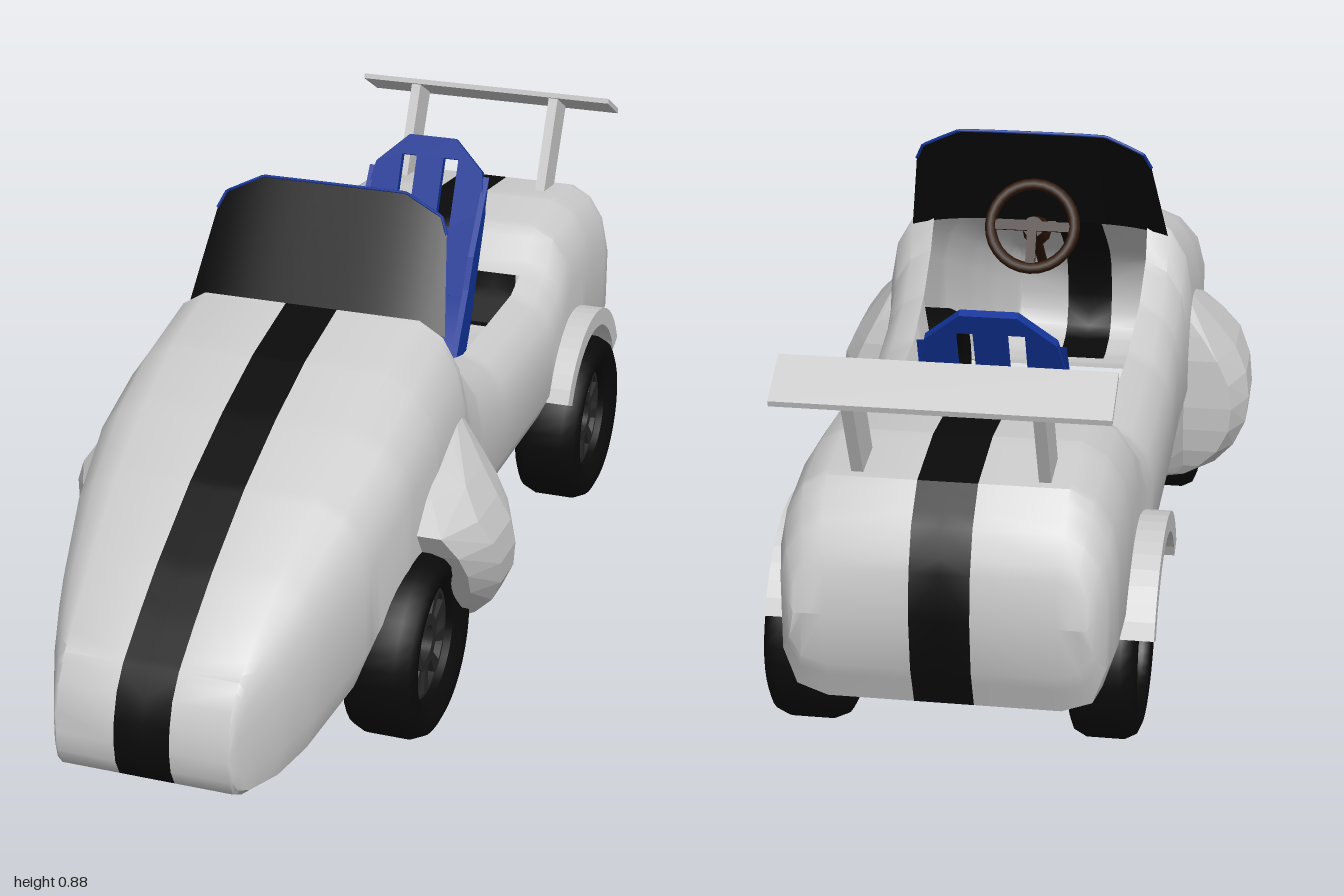
import * as THREE from 'three';
import { toCreasedNormals } from 'three/addons/utils/BufferGeometryUtils.js';
import { ConvexGeometry } from 'three/addons/geometries/ConvexGeometry.js';

const paint = (color) => new THREE.MeshStandardMaterial({ color, side: THREE.DoubleSide });
const GREY = paint(0xcccccc), BLACK = paint(0x0a0a0a), RIM = paint(0x282828);
const BLUE = paint(0x12349a), BROWN = paint(0x2e1708);
const AXLES = [0.452, -0.615], HUB_Y = 0.175, ARCH = 0.163;

// Body stations along z: [z, top, bottom, half width, half width of the flat top]
const STATIONS = [
  [1, 0.2, 0.2, 0.155, 0.15], [0.995, 0.24, 0.16, 0.16, 0.155], [0.98, 0.285, 0.13, 0.167, 0.155],
  [0.95, 0.325, 0.113, 0.18, 0.157], [0.88, 0.38, 0.103, 0.21, 0.162], [0.8, 0.437, 0.112, 0.237, 0.17],
  [0.65, 0.525, 0.155, 0.277, 0.185], [0.5, 0.592, 0.24, 0.299, 0.195], [0.35, 0.645, 0.23, 0.304, 0.205],
  [0.185, 0.682, 0.22, 0.3, 0.21], [0.14, 0.605, 0.22, 0.295, 0.212], [0.05, 0.545, 0.22, 0.29, 0.21],
  [-0.1, 0.503, 0.22, 0.29, 0.205], [-0.44, 0.5, 0.22, 0.29, 0.2], [-0.52, 0.528, 0.22, 0.287, 0.2],
  [-0.6, 0.592, 0.22, 0.283, 0.2], [-0.75, 0.605, 0.22, 0.283, 0.2], [-0.9, 0.588, 0.212, 0.28, 0.2],
  [-0.96, 0.535, 0.215, 0.268, 0.195], [-0.99, 0.465, 0.29, 0.25, 0.19], [-1, 0.385, 0.385, 0.24, 0.19],
];

function stationAt(z) {
  const i = Math.max(1, STATIONS.findIndex((s) => s[0] <= z + 1e-6));
  const a = STATIONS[i - 1], b = STATIONS[i], t = (z - a[0]) / (b[0] - a[0]);
  return a.map((v, k) => v + (b[k] - v) * t);
}

// Half cross-section from the underside centre, out and up to the top centre
function halfSection(z) {
  const [, yt, yb, w, wt] = stationAt(z), h = yt - yb, d = w - wt;
  const pts = [
    [0, yb], [0.05, yb], [wt, yb], [wt + 0.7 * d, yb + 0.06 * h], [w, yb + 0.26 * h], [w, yb + 0.65 * h],
    [wt + 0.85 * d, yb + 0.82 * h], [wt + 0.5 * d, yb + 0.94 * h], [wt, yt], [0.05, yt], [0, yt],
  ];
  // Wheel arches lift the lower edge of the side walls
  for (const zc of AXLES) {
    const q = ARCH ** 2 - (z - zc) ** 2;
    if (q > 0) for (let j = 3; j < 8; j++) pts[j][1] = Math.max(pts[j][1], HUB_Y + Math.sqrt(q));
  }
  return pts.map(([x, y]) => [x, y, z]);
}

// Skin of the body, limited to the panels that keep(z, j) accepts
function bodySkin(keep) {
  const zs = STATIONS.map((s) => s[0]);
  for (let i = -49; i < 50; i++) zs.push(i / 50);
  const stations = [...new Set(zs)].sort((a, b) => b - a);
  const rows = stations.map(halfSection), pos = [];
  for (let i = 0; i + 1 < rows.length; i++) {
    const z = (stations[i] + stations[i + 1]) / 2;
    for (let j = 0; j < 10; j++) {
      if (!keep(z, j)) continue;
      const a = rows[i][j], b = rows[i + 1][j], c = rows[i + 1][j + 1], d = rows[i][j + 1];
      pos.push(...a, ...b, ...d, ...b, ...c, ...d);
      for (const p of [a, d, b, b, d, c]) pos.push(-p[0], p[1], p[2]);
    }
  }
  const g = new THREE.BufferGeometry();
  g.setAttribute('position', new THREE.Float32BufferAttribute(pos, 3));
  return toCreasedNormals(g, 0.6);
}

const inCockpit = (z) => z < 0.185 && z > -0.5;
const isStripe = (z, j) => (j === 9 && !inCockpit(z)) || (j === 0 && (z > 0.84 || z < -0.93));
function isBody(z, j) {
  if (isStripe(z, j)) return false;
  if (j >= 8) return !inCockpit(z);
  if (j < 2) return z < 0.1 || z > 0.72;
  if (j === 2) return !AXLES.some((c) => Math.abs(z - c) < ARCH);
  return true;
}

function shapeOf(points) {
  return new THREE.Shape(points.map(([x, y]) => new THREE.Vector2(x, y)));
}
// Sector of a ring
function ringSector(r0, r1, a0, a1, n = 16) {
  const arc = (r, k) => [r * Math.cos(a0 + (a1 - a0) * k / n), r * Math.sin(a0 + (a1 - a0) * k / n)];
  const ids = [...Array(n + 1).keys()];
  return shapeOf([...ids.map((k) => arc(r1, k)), ...ids.reverse().map((k) => arc(r0, k))]);
}
const slab = (shape, depth) =>
  new THREE.ExtrudeGeometry(shape, { depth, bevelEnabled: false, curveSegments: 24 }).translate(0, 0, -depth / 2);
// Slab whose outline is given as [z, y]
const sideSlab = (points, width) => slab(shapeOf(points.map(([z, y]) => [-z, y])), width).rotateY(Math.PI / 2);

// Point of the windscreen with swept-back sides, u across (-1 to 1) and v up (0 to 1)
const SCREEN_TOP = [[0, 0, 0.252], [0.6, 0.14, 0.252], [0.85, 0.212, 0.217], [1, 0.226, 0.185]];
function screenPoint(u, v) {
  const k = SCREEN_TOP.findIndex((p) => p[0] >= Math.max(Math.abs(u), 0.001));
  const a = SCREEN_TOP[k - 1], b = SCREEN_TOP[k], t = (Math.abs(u) - a[0]) / (b[0] - a[0]);
  const top = a[1] + (b[1] - a[1]) * t, x = Math.sign(u) * (0.252 * Math.abs(u) * (1 - v) + top * v);
  return new THREE.Vector3(x, (a[2] + (b[2] - a[2]) * t) * v, -6 * x ** 4);
}

export function createModel() {
  const car = new THREE.Group();
  car.name = 'pedalCar';
  const add = (name, geometry, material, parent = car) => {
    const m = new THREE.Mesh(geometry, material);
    m.name = name;
    parent.add(m);
    return m;
  };
  const group = (name, x, y, z, rx = 0) => {
    const g = new THREE.Group();
    g.name = name;
    g.position.set(x, y, z);
    g.rotation.x = rx;
    car.add(g);
    return g;
  };

  add('body', bodySkin(isBody), GREY);
  add('stripe', bodySkin(isStripe), BLACK);

  // Wheels with pierced rims; the left pair is wider and stands further out
  const rimShape = new THREE.Shape().absarc(0, 0, 0.112, 0, Math.PI * 2);
  rimShape.holes.push(new THREE.Path().absarc(0, 0, 0.032, 0, Math.PI * 2, true));
  for (let k = 0; k < 10; k++) {
    const a = k * Math.PI / 5;
    rimShape.holes.push(ringSector(0.052, 0.096, a - 0.18, a + 0.18, 4));
  }
  for (const [side, x, width] of [['Right', -0.24, 0.12], ['Left', 0.28, 0.138]]) {
    const w = width / 2;
    const profile = [[0.103, -w * 0.75], [0.125, -w * 0.95], [0.145, -w], [0.162, -w * 0.88], [0.172, -w * 0.55],
      [0.172, w * 0.55], [0.162, w * 0.88], [0.145, w], [0.125, w * 0.95], [0.103, w * 0.75], [0.103, -w * 0.75]];
    const tyre = new THREE.LatheGeometry(profile.map((p) => new THREE.Vector2(...p)), 36).rotateZ(Math.PI / 2);
    const rim = slab(rimShape, width * 0.55).rotateY(Math.PI / 2);
    AXLES.forEach((z, i) => {
      const wheel = group((i ? 'rear' : 'front') + side + 'Wheel', x, HUB_Y, z);
      wheel.scale.z = 1.07;
      add('tyre', tyre, BLACK, wheel);
      add('rim', rim, RIM, wheel);
    });
  }

  // Faceted front fenders from level sections [y, outer x, back z, front z]; arched rear fenders
  const sections = [
    [0.52, 0.295, 0.19, 0.24], [0.48, 0.318, 0.175, 0.35], [0.44, 0.352, 0.167, 0.415], [0.39, 0.385, 0.16, 0.462],
    [0.34, 0.408, 0.16, 0.43], [0.29, 0.415, 0.16, 0.395], [0.24, 0.41, 0.165, 0.36], [0.19, 0.387, 0.175, 0.325],
    [0.15, 0.35, 0.19, 0.295], [0.125, 0.305, 0.205, 0.275], [0.105, 0.24, 0.23, 0.26],
  ];
  const arch = sideSlab(ringSector(0.18, 0.216, 0.42, Math.PI - 0.42).getPoints().map((p) => [p.x, p.y]), 0.06);
  for (const s of [1, -1]) {
    const side = s > 0 ? 'Left' : 'Right';
    const hull = sections.flatMap(([y, x, z0, z1]) => [
      [x, y, z0 + 0.3 * (z1 - z0)], [x, y, z0 + 0.7 * (z1 - z0)], [x - 0.03, y, z0], [x - 0.04, y, z1],
      [Math.min(x, 0.29), y, z0], [Math.min(x, 0.29), y, z1],
    ]).map(([x, y, z]) => new THREE.Vector3(s * x, y, z));
    add('front' + side + 'Fender', new ConvexGeometry(hull), GREY);
    add('rear' + side + 'Fender', arch, GREY).position.set(s * 0.302, 0.192, AXLES[1] - 0.008);
  }

  // Dark windscreen with a blue top edge
  const screen = group('windscreen', 0, 0.66, 0.185, -0.52);
  const pane = new THREE.PlaneGeometry(2, 1, 40, 6), pp = pane.attributes.position;
  for (let i = 0; i < pp.count; i++) pp.setXYZ(i, ...screenPoint(pp.getX(i), pp.getY(i) + 0.5).toArray());
  pane.computeVertexNormals();
  add('screenPane', pane, BLACK, screen);
  const edge = [...Array(41).keys()].map((k) => screenPoint(k / 20 - 1, 1));
  add('screenEdge', new THREE.TubeGeometry(new THREE.CatmullRomCurve3(edge), 60, 0.003, 6), BLUE, screen);

  // Steering wheel: rim, three spokes, hub and column
  const steering = group('steeringWheel', -0.01, 0.715, -0.005, 0.46);
  add('steeringRim', new THREE.TorusGeometry(0.08, 0.011, 8, 28), BROWN, steering);
  for (const a of [0, Math.PI, -Math.PI / 2]) {
    const spoke = new THREE.BoxGeometry(0.08, 0.018, 0.01).translate(0.04, 0, 0).rotateZ(a);
    add('steeringSpoke', spoke, BROWN, steering);
  }
  const hub = new THREE.CylinderGeometry(0.028, 0.02, 0.06, 12).rotateX(Math.PI / 2).translate(0, 0, 0.04);
  add('steeringHub', hub, BROWN, steering);
  const column = new THREE.LineCurve3(new THREE.Vector3(-0.01, 0.69, 0.03), new THREE.Vector3(-0.01, 0.59, 0.14));
  add('steeringColumn', new THREE.TubeGeometry(column, 1, 0.01, 8), BROWN);

  // Bucket seat: curved pan, slotted reclined back and side bolsters
  const half = [[0.13, 0], [0.13, 0.18], [0.115, 0.26], [0.05, 0.322]];
  const back = shapeOf([...half, ...half.map(([x, y]) => [-x, y]).reverse()]);
  for (const x of [-0.045, 0.045]) {
    back.holes.push(new THREE.Path([[-0.016, 0.14], [-0.016, 0.28], [0.016, 0.28], [0.016, 0.14]]
      .map(([u, v]) => new THREE.Vector2(x + u, v))));
  }
  add('seatBack', slab(back, 0.016), BLUE, group('seat', -0.02, 0.47, -0.47, -0.415));
  const pan = [[-0.17, 0.31], [-0.3, 0.305], [-0.36, 0.325], [-0.41, 0.37], [-0.44, 0.42], [-0.463, 0.473],
    [-0.478, 0.467], [-0.455, 0.41], [-0.424, 0.358], [-0.37, 0.31], [-0.3, 0.289], [-0.17, 0.293]];
  add('seatPan', toCreasedNormals(sideSlab(pan, 0.26), 0.7), BLUE).position.x = -0.02;
  const bolster = sideSlab([[-0.17, 0.293], [-0.17, 0.312], [-0.34, 0.34], [-0.44, 0.5], [-0.47, 0.56],
    [-0.57, 0.7], [-0.49, 0.495], [-0.424, 0.358], [-0.37, 0.31], [-0.3, 0.29]], 0.012);
  for (const s of [1, -1]) add('seatBolster', bolster, BLUE).position.x = -0.02 + s * 0.124;

  // Rear wing on two slanted posts
  const post = sideSlab([[-0.8, 0.585], [-0.875, 0.57], [-0.965, 0.75], [-0.895, 0.782]], 0.02);
  for (const x of [-0.157, 0.152]) add('wingPost', post, GREY).position.x = x;
  add('rearWing', sideSlab([[-0.888, 0.782], [-0.891, 0.792], [-0.977, 0.745], [-0.974, 0.735]], 0.55), GREY);
  return car;
}
